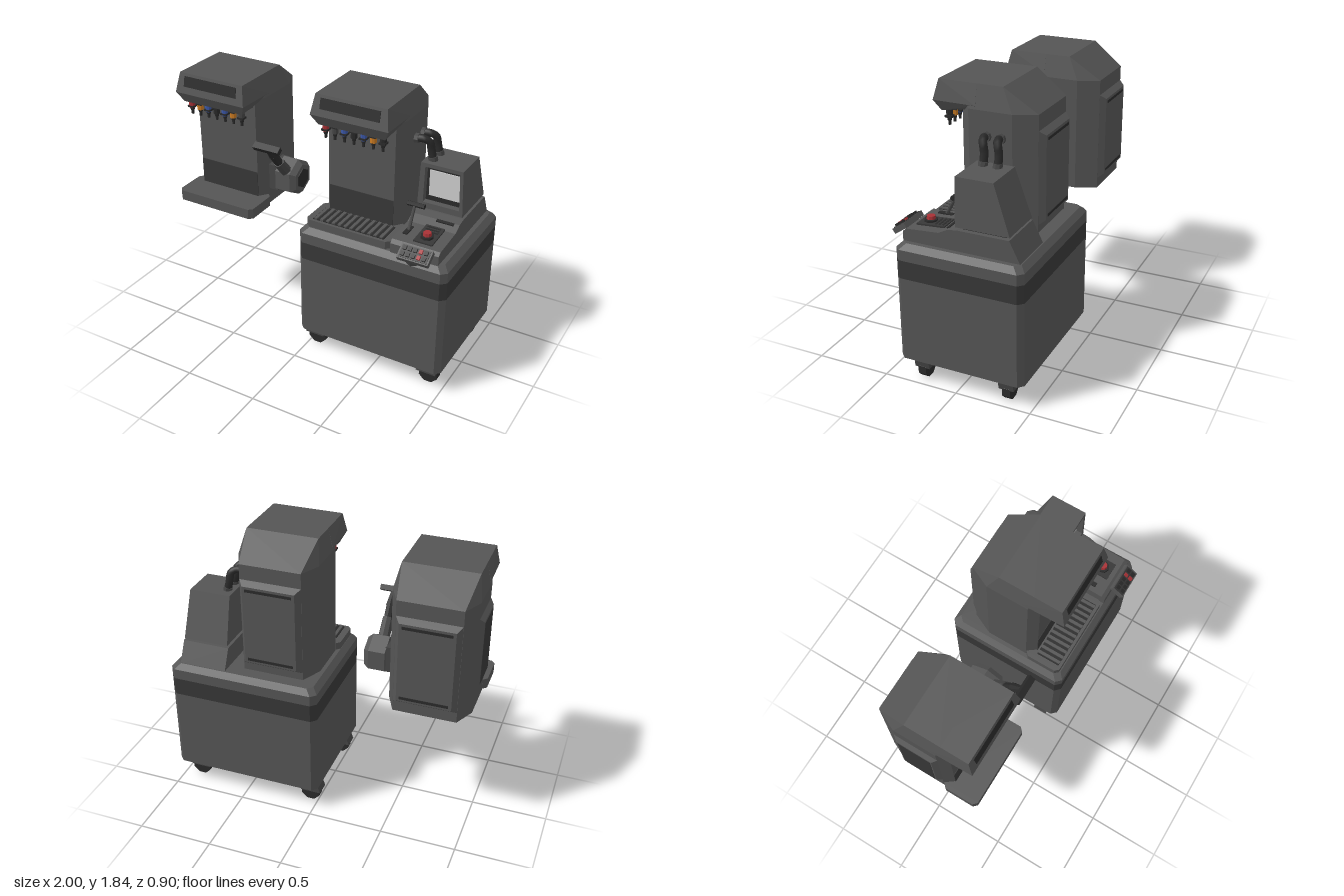
import * as THREE from 'three';
import { ConvexGeometry } from 'three/addons/geometries/ConvexGeometry.js';

const mat = (name, color) => Object.assign(new THREE.MeshStandardMaterial({ color }), { name });

export function createModel() {
  const M = {
    body: mat('body grey', 0x555555), band: mat('band grey', 0x373737), dark: mat('dark trim', 0x2a2a2a),
    metal: mat('metal grey', 0x464646), screen: mat('screen grey', 0xcccccc), blue: mat('blue', 0x3b57a6),
    orange: mat('orange', 0xc97a22), red: mat('red', 0xa83236),
  };
  const root = new THREE.Group();
  root.name = 'dispenserStation';

  // Helpers
  const V = (x, y, z) => new THREE.Vector3(x, y, z);
  const add = (parent, name, geo, m, x = 0, y = 0, z = 0) => {
    const mesh = new THREE.Mesh(geo, m);
    mesh.name = name;
    mesh.position.set(x, y, z);
    parent.add(mesh);
    return mesh;
  };
  const box = (p, name, m, w, h, d, x, y, z) => add(p, name, new THREE.BoxGeometry(w, h, d), m, x, y, z);
  const hull = (p, name, m, pts) => add(p, name, new ConvexGeometry(pts), m);
  const flat = (geo) => {
    const g = geo.toNonIndexed();
    g.computeVertexNormals();
    return g;
  };
  const cyl = (rt, rb, h, n) => flat(new THREE.CylinderGeometry(rt, rb, h, n));
  // Horizontal rectangle with cut corners
  const oct = (x0, x1, z0, z1, c, y) => [
    V(x0 + c, y, z0), V(x1 - c, y, z0), V(x1, y, z0 + c), V(x1, y, z1 - c),
    V(x1 - c, y, z1), V(x0 + c, y, z1), V(x0, y, z1 - c), V(x0, y, z0 + c)];
  // Raised panel facing +z with sloped edges
  const panelGeo = (w, h, d, b) => {
    const pts = [];
    for (const [z, k] of [[0, 0], [d, b]])
      for (const sx of [-1, 1]) for (const sy of [-1, 1]) pts.push(V(sx * (w / 2 - k), sy * (h / 2 - k), z));
    return new ConvexGeometry(pts);
  };
  // Rod between two points
  const rod = (p, name, m, a, b, ra, rb, n = 8) => {
    const dir = b.clone().sub(a);
    const r = add(p, name, cyl(rb, ra, dir.length(), n), m);
    r.position.copy(a).add(b).multiplyScalar(0.5);
    r.quaternion.setFromUnitVectors(V(0, 1, 0), dir.normalize());
    return r;
  };
  // Side profile of (z, y) points stretched from x0 to x1
  const profile = (p, name, m, pts, x0, x1) => {
    const s = new THREE.Shape(pts.map(([z, y]) => new THREE.Vector2(z, y)));
    const g = new THREE.ExtrudeGeometry(s, { depth: x1 - x0, bevelEnabled: false });
    g.rotateY(-Math.PI / 2);
    return add(p, name, g, m, x1);
  };

  // Tap tower, used twice
  const tower = (name, x, y, colours) => {
    const g = new THREE.Group();
    g.name = name;
    g.position.set(x, y, 0);
    root.add(g);
    const ring = (h) => [-1, 1].flatMap((s) => [
      V(s * 0.225, h, 0.155), V(s * 0.27, h, 0.095), V(s * 0.27, h, -0.19), V(s * 0.205, h, -0.33)]);
    const top = [-1, 1].flatMap((s) => [V(s * 0.24, 0.92, 0.12), V(s * 0.24, 0.92, -0.12)]);
    hull(g, 'column', M.body, [...ring(0), ...ring(0.77), ...top]);
    hull(g, 'head', M.body, [-1, 1].flatMap((s) => [
      V(s * 0.24, 0.92, 0.05), V(s * 0.24, 0.92, 0.305), V(s * 0.262, 0.79, 0.337), V(s * 0.225, 0.72, 0.3),
      V(s * 0.268, 0.79, 0.05), V(s * 0.25, 0.765, 0.05)]));
    const disp = box(g, 'displaySlot', M.dark, 0.4, 0.068, 0.008, 0, 0.868, 0.318);
    disp.rotation.x = -0.24;
    box(g, 'lowerBand', M.band, 0.45, 0.18, 0.006, 0, 0.157, 0.156);

    // Back service panel
    const back = add(g, 'backPanel', panelGeo(0.41, 0.6, 0.04, 0.03), M.body, 0, 0.37, -0.328);
    back.rotation.y = Math.PI;
    for (const h of [0.615, 0.125]) box(g, 'backSlot', M.dark, 0.31, 0.018, 0.008, 0, h, -0.368);

    // Foot under the taps
    hull(g, 'foot', M.body, [...oct(-0.295, 0.295, 0.1, 0.35, 0.025, 0), ...oct(-0.295, 0.295, 0.1, 0.35, 0.025, 0.07)]);

    // Row of taps
    colours.forEach((c, i) => {
      const tx = (i - 3) * 0.065;
      const parts = [
        ['tapCollar', M.dark, 0.016, 0.016, 0.03, 0.755], ['tapBody', M[c], 0.021, 0.021, 0.072, 0.705],
        ['tapNeck', M.dark, 0.016, 0.012, 0.02, 0.66], ['tapTip', M.dark, 0.009, 0.009, 0.03, 0.64]];
      for (const [n, m, rt, rb, h, py] of parts) add(g, n, cyl(rt, rb, h, 8), m, tx, py, 0.262);
      box(g, 'tapClip', M.dark, 0.044, 0.012, 0.044, tx, 0.7 + (i % 2 ? 0.01 : -0.02), 0.262);
    });
    return g;
  };
  const left = tower('wallTower', -0.705, 0.865, ['red', 'orange', 'blue', 'dark', 'blue', 'orange', 'metal']);
  const main = tower('cartTower', 0.305, 0.93, ['red', 'metal', 'blue', 'dark', 'blue', 'orange', 'dark']);
  box(left, 'tapRail', M.metal, 0.03, 0.015, 0.11, 0.195, 0.722, 0.205);

  // Side panel of the wall tower
  const side = add(left, 'sidePanel', panelGeo(0.3, 0.51, 0.026, 0.03), M.body, -0.269, 0.41, -0.05);
  side.rotation.y = -Math.PI / 2;
  box(left, 'sidePanelInset', M.band, 0.006, 0.43, 0.22, -0.294, 0.41, -0.05);

  // Drip slats of the cart tower
  box(main, 'dripTray', M.dark, 0.5, 0.006, 0.16, 0, 0.072, 0.25);
  for (let i = 0; i < 12; i++) box(main, 'dripSlat', M.body, 0.02, 0.012, 0.16, (i - 5.5) * 0.042, 0.077, 0.25);

  // Swivel handle on the wall tower
  const arm = new THREE.Group();
  arm.name = 'swivelHandle';
  root.add(arm);
  box(arm, 'armMount', M.metal, 0.08, 0.18, 0.17, -0.41, 1.065, 0);
  const hexDrum = (n, m, r0, r1, w, x) => {
    const d = add(arm, n, cyl(r0, r1, w, 6), m, x, 1.063, -0.01);
    d.rotation.set(Math.PI / 2, 0, -Math.PI / 2, 'ZXY');
    d.rotation.set(0, 0, -Math.PI / 2);
    d.geometry.rotateY(Math.PI / 2);
  };
  hexDrum('drum', M.body, 0.13, 0.13, 0.11, -0.32);
  hexDrum('drumFace', M.body, 0.1, 0.13, 0.035, -0.2475);
  hexDrum('drumRecess', M.dark, 0.07, 0.07, 0.008, -0.229);
  rod(arm, 'armCollar', M.metal, V(-0.31, 1.12, 0.06), V(-0.31, 1.235, 0.155), 0.04, 0.036);
  rod(arm, 'armNeck', M.dark, V(-0.31, 1.22, 0.145), V(-0.31, 1.31, 0.215), 0.03, 0.03);
  rod(arm, 'armTaper', M.dark, V(-0.31, 1.3, 0.205), V(-0.31, 1.38, 0.275), 0.033, 0.018);
  box(arm, 'armGrip', M.dark, 0.19, 0.035, 0.045, -0.312, 1.382, 0.28).rotation.x = 0.6;

  // Cart cabinet
  const cartRing = (y, k = 0) => oct(-0.027 + k, 1 - k, -0.45 + k, 0.392 - k, 0.035, y);
  const cartParts = [['cabinet', M.body, 0.165, 0.725], ['cabinetBand', M.band, 0.725, 0.845], ['cabinetLid', M.body, 0.845, 0.915]];
  for (const [n, m, a, b] of cartParts) hull(root, n, m, [...cartRing(a), ...cartRing(b)]);
  hull(root, 'cabinetTop', M.body, [...cartRing(0.915), ...cartRing(0.95, 0.035)]);

  // Casters
  for (const x of [0.055, 0.885]) for (const z of [0.265, -0.317]) {
    const c = new THREE.Group();
    c.name = 'caster';
    c.position.set(x, 0, z);
    root.add(c);
    const wheel = add(c, 'wheel', cyl(0.068, 0.068, 0.054, 8), M.dark, 0, 0.068, 0);
    wheel.geometry.rotateY(Math.PI / 8);
    wheel.rotation.x = Math.PI / 2;
    hull(c, 'fork', M.metal, [-0.05, 0.05].flatMap((d) => [
      V(-0.078, 0.085, d), V(0.06, 0.085, d), V(0.068, 0.13, d), V(0.05, 0.166, d), V(-0.05, 0.166, d)]));
  }

  // Control console
  profile(root, 'console', M.body, [[0.36, 0.945], [0.36, 1.01], [0.335, 1.03], [0.12, 1.045], [0.06, 1.075],
    [0, 1.085], [-0.34, 1.085], [-0.41, 0.945]], 0.615, 0.935);
  box(root, 'consoleSlot', M.dark, 0.115, 0.008, 0.02, 0.843, 1.073, 0.07).rotation.x = 0.25;
  box(root, 'buttonPlate', M.band, 0.125, 0.014, 0.19, 0.803, 1.042, 0.21).rotation.x = 0.07;
  for (let i = 0; i < 3; i++) box(root, 'plateSlot', M.dark, 0.09, 0.008, 0.012, 0.803, 1.052 - i * 0.002, 0.135 + i * 0.025);
  add(root, 'buttonBase', cyl(0.042, 0.042, 0.016, 8), M.dark, 0.803, 1.052, 0.24);
  add(root, 'stopButton', cyl(0.026, 0.03, 0.03, 8), M.red, 0.803, 1.066, 0.24);

  // Lever
  rod(root, 'leverRod', M.metal, V(0.665, 1.03, 0.215), V(0.665, 1.18, 0.135), 0.012, 0.01);
  rod(root, 'leverGrip', M.dark, V(0.615, 1.18, 0.132), V(0.73, 1.18, 0.132), 0.016, 0.016);
  box(root, 'leverSlot', M.dark, 0.03, 0.008, 0.1, 0.665, 1.042, 0.215);

  // Tilted keypad on the front edge
  const pad = new THREE.Group();
  pad.name = 'keypad';
  pad.position.set(0.803, 1.005, 0.402);
  pad.rotation.x = 0.6;
  root.add(pad);
  box(pad, 'keypadBody', M.body, 0.205, 0.035, 0.1, 0, 0, 0);
  box(pad, 'keypadFace', M.band, 0.185, 0.006, 0.084, 0, 0.018, 0);
  for (let i = 0; i < 5; i++) for (let j = 0; j < 2; j++)
    box(pad, 'key', i === 3 ? M.red : M.dark, 0.022, 0.014, 0.026, (i - 2) * 0.035, 0.025, (j - 0.5) * 0.04);
  rod(root, 'keypadBracket', M.metal, V(0.78, 0.945, 0.375), V(0.78, 1.0, 0.395), 0.045, 0.045);

  // Monitor housing with a recessed screen
  const face = (z, k = 0) => [V(0.622, 1.1, z), V(0.928, 1.1, z), V(0.915 - k, 1.41, z), V(0.635 + k, 1.41, z)];
  hull(root, 'monitorHousing', M.body, [...face(-0.04), V(0.635, 1.41, -0.235), V(0.915, 1.41, -0.235),
    V(0.622, 1.1, -0.34), V(0.928, 1.1, -0.34)]);
  const frame = new THREE.Shape(face(0).map((v) => new THREE.Vector2(v.x, v.y)));
  frame.holes.push(new THREE.Path([[0.66, 1.14], [0.665, 1.385], [0.895, 1.385], [0.905, 1.14]]
    .map(([x, y]) => new THREE.Vector2(x, y))));
  add(root, 'monitorFrame', new THREE.ExtrudeGeometry(frame, { depth: 0.05, bevelEnabled: false }), M.body, 0, 0, -0.04);
  box(root, 'screenBezel', M.dark, 0.25, 0.25, 0.008, 0.782, 1.262, -0.037);
  box(root, 'screen', M.screen, 0.205, 0.175, 0.008, 0.785, 1.265, -0.03);
  box(root, 'monitorNeck', M.dark, 0.26, 0.03, 0.28, 0.775, 1.09, -0.17);

  // Hoses from the tower to the monitor
  for (const dz of [0, -0.095]) {
    const curve = new THREE.CatmullRomCurve3([V(0.57, 1.545, -0.025 + dz), V(0.63, 1.55, -0.028 + dz),
      V(0.662, 1.53, -0.045 + dz), V(0.67, 1.48, -0.055 + dz), V(0.69, 1.39, -0.055 + dz)]);
    add(root, 'hose', new THREE.TubeGeometry(curve, 14, 0.025, 8), M.dark);
    rod(root, 'hoseCollar', M.metal, V(0.56, 1.545, -0.025 + dz), V(0.6, 1.547, -0.026 + dz), 0.032, 0.032);
    rod(root, 'hoseCollar', M.metal, V(0.682, 1.43, -0.055 + dz), V(0.69, 1.4, -0.055 + dz), 0.031, 0.031);
  }
  return root;
}
